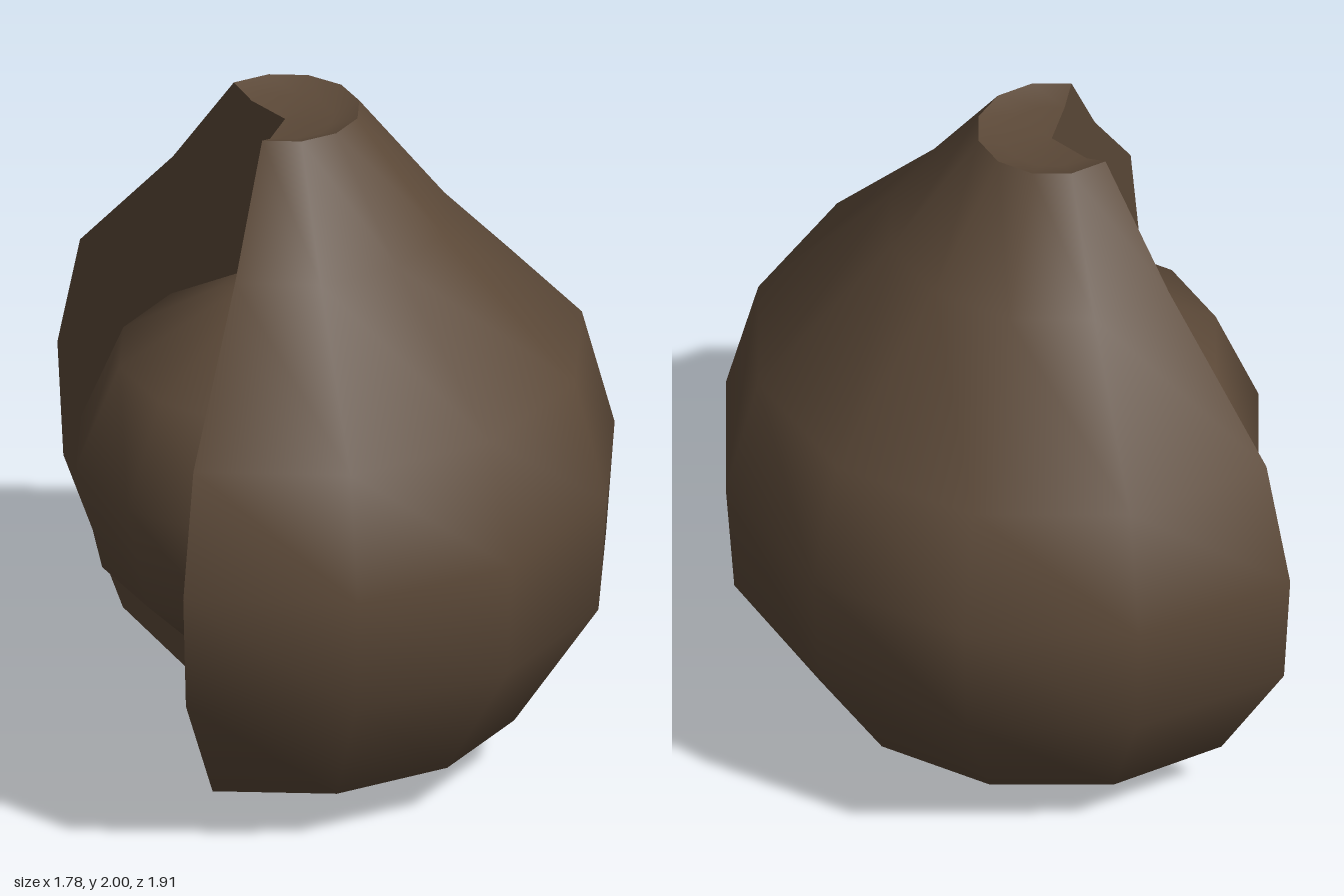
import * as THREE from 'three';

// Radius, height pairs from the base to the dipped top
const HUSK_PROFILE = [
  [0, 0], [0.39, 0.06], [0.68, 0.16], [0.93, 0.55], [0.955, 0.9],
  [0.86, 1.26], [0.47, 1.67], [0.215, 2.0], [0.14, 1.97], [0, 1.965],
];
const SEED_PROFILE = [
  [0, 0.36], [0.1, 0.36], [0.35, 0.42], [0.53, 0.6], [0.605, 0.93],
  [0.48, 1.23], [0.2, 1.4], [0.1, 1.42], [0, 1.42],
];
const THIRD = (Math.PI * 2) / 3;

const toPoints = (profile, sign = 1) => profile.map(([r, y]) => new THREE.Vector2(sign * r, y));

export function createModel() {
  const model = new THREE.Group();
  model.name = 'openFruit';
  const brown = new THREE.MeshStandardMaterial({ color: 0x5c4938 });
  brown.name = 'brown';

  const add = (parent, name, geometry) => {
    const mesh = new THREE.Mesh(geometry, brown);
    mesh.name = name;
    parent.add(mesh);
  };

  // Flat cut face in the half plane at angle phi; sign picks the side it faces
  const cutFace = (phi, sign) => {
    const geometry = new THREE.ShapeGeometry(new THREE.Shape(toPoints(HUSK_PROFILE, sign)));
    return geometry.rotateY(phi - Math.PI / 2 + (sign < 0 ? Math.PI : 0));
  };

  // Skin split where the rim turns sharply, so the rim stays crisp
  const sideProfile = toPoints(HUSK_PROFILE.slice(0, 8));
  const topProfile = toPoints(HUSK_PROFILE.slice(7));

  // Two solid thirds of the husk; the last third is left open
  for (let i = 0; i < 2; i++) {
    const start = i * THIRD;
    const section = new THREE.Group();
    section.name = i === 0 ? 'frontHuskSection' : 'backHuskSection';
    add(section, 'huskSkin', new THREE.LatheGeometry(sideProfile, 4, start, THIRD));
    add(section, 'huskTop', new THREE.LatheGeometry(topProfile, 4, start, THIRD));
    add(section, 'startCutFace', cutFace(start, 1));
    add(section, 'endCutFace', cutFace(start + THIRD, -1));
    model.add(section);
  }

  // Round seed showing in the open third
  add(model, 'seed', new THREE.LatheGeometry(toPoints(SEED_PROFILE), 12));

  // The core sits slightly off centre because one third is open
  model.children.forEach((part) => { part.position.x = -0.06; });
  return model;
}
